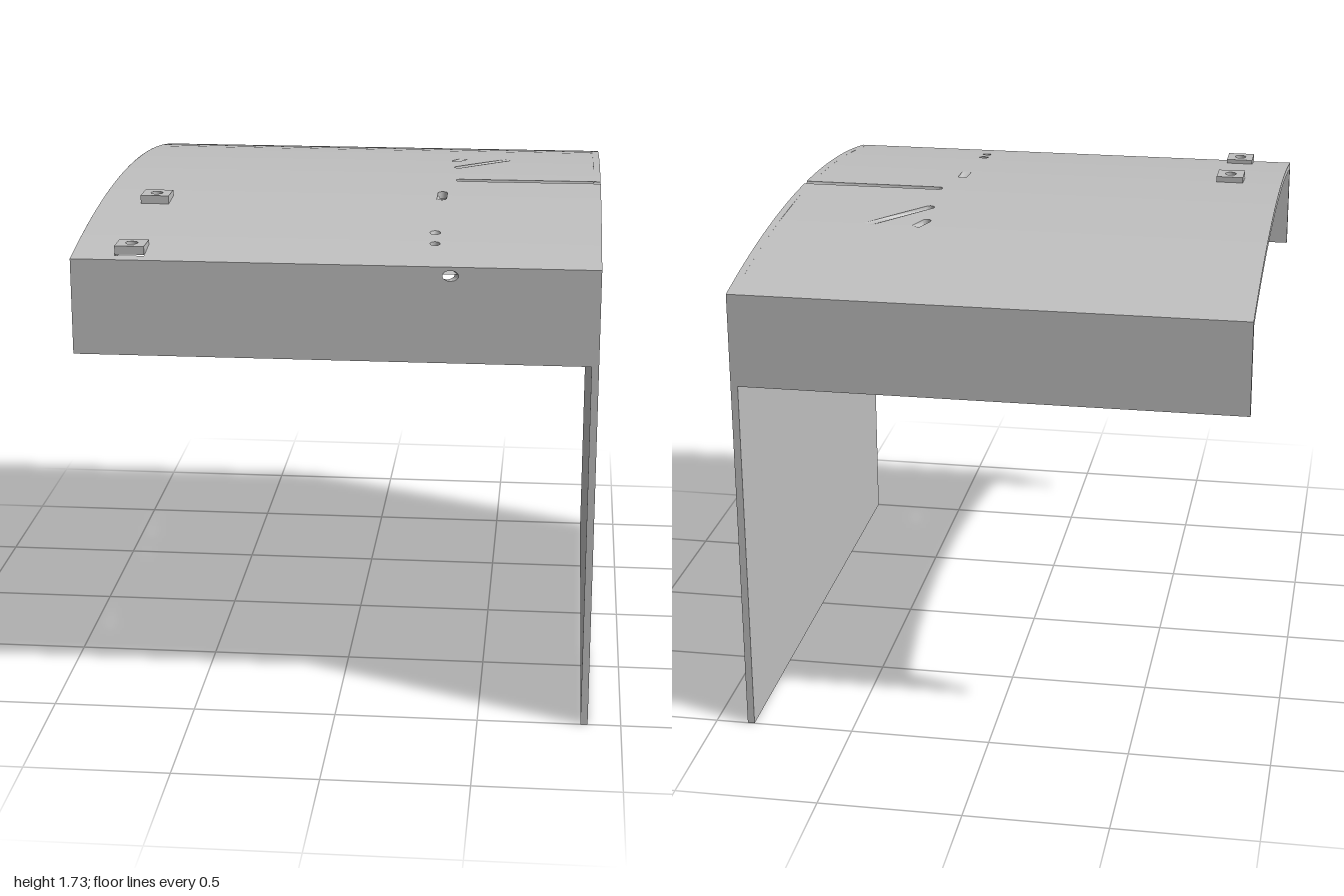
import * as THREE from 'three';
import { mergeGeometries } from 'three/addons/utils/BufferGeometryUtils.js';

const W = 0.885, T = 0.025, INNER = W - T;
const arch = z => 1.63 + 0.095 * (1 - z * z);

const gray = new THREE.MeshStandardMaterial({ color: 0xc0c0c0, side: THREE.DoubleSide });
gray.name = 'plain gray';

// Round openings in the roof: centre x, z, radius, shift of the lower end in z
const roundHoles = [[0.32, 0.71, 0.018, 0.01], [0.325, 0.81, 0.017, 0]];
// Slanting drilled grooves: deep end, shallow end, radius, depth at the shallow end
const grooves = [
  { a: [0.375, 0.07], b: [INNER, 0.07], r: 0.017, d: 0.015 },
  { a: [0.355, -0.175], b: [0.54, -0.385], r: 0.016, d: 0 },
  { a: [0.337, -0.325], b: [0.365, -0.388], r: 0.016, d: 0 },
  { a: [0.32, 0.265], b: [0.32, 0.355], r: 0.017, d: 0 },
];
// Mounting plates: x, z, underside height
const plates = [[-0.69, 0.42, 1.704], [-0.69, 0.915, 1.64]];

const ring = (x, z, r, from = 0, sweep = Math.PI * 2, n = 20) =>
  Array.from({ length: n + 1 }, (_, i) => {
    const t = from + sweep * i / n;
    return [x + r * Math.cos(t), z + r * Math.sin(t)];
  });
const circle = (x, z, r) => ring(x, z, r).slice(0, -1);
const square = (x, z, s) => [[x - s, z - s], [x + s, z - s], [x + s, z + s], [x - s, z + s]];

// Half circle round the deep end of a groove
function cap(g) {
  const angle = Math.atan2(g.b[1] - g.a[1], g.b[0] - g.a[0]);
  return ring(...g.a, g.r, angle + Math.PI / 2, Math.PI, 12);
}
function slot(g) {
  const c = cap(g), first = c[0], last = c[c.length - 1];
  const dx = g.b[0] - g.a[0] - (g.d ? 0.0005 : 0), dz = g.b[1] - g.a[1];
  return [...c, [last[0] + dx, last[1] + dz], [first[0] + dx, first[1] + dz]];
}

// Surface through rows of points
function loft(rows) {
  const n = rows[0].length, index = [];
  for (let i = 0; i < rows.length - 1; i++)
    for (let j = 0; j < n - 1; j++) {
      const a = i * n + j, b = a + n;
      index.push(a, b, a + 1, b, b + 1, a + 1);
    }
  const geo = new THREE.BufferGeometry();
  geo.setAttribute('position', new THREE.Float32BufferAttribute(rows.flat(2), 3));
  geo.setIndex(index);
  geo.computeVertexNormals();
  return geo;
}
// Wall of an opening, from the roof's top surface to its underside
const wall = (pts, dz = 0) => loft([
  pts.map(([x, z]) => [x, arch(z), z]),
  pts.map(([x, z]) => [x, arch(z + dz) - T, z + dz]),
]);

// Curved skin with openings, made of narrow strips bent onto the arch
function skin(openings, drop) {
  const cuts = [-1, -0.9, -0.8, -0.7, -0.6, -0.5, -0.41, -0.14, -0.05, 0.04, 0.1, 0.17,
    0.24, 0.365, 0.48, 0.58, 0.68, 0.84, 0.855, 0.98, 1];
  const toPts = list => list.map(([x, z]) => new THREE.Vector2(x, -z));
  const strips = cuts.slice(1).map((z1, i) => {
    const z0 = cuts[i];
    const shape = new THREE.Shape(toPts([[-W, z1], [INNER, z1], [INNER, z0], [-W, z0]]));
    for (const o of openings)
      if (o.every(p => p[1] > z0 && p[1] < z1)) shape.holes.push(new THREE.Path(toPts(o)));
    const geo = new THREE.ShapeGeometry(shape);
    const pos = geo.attributes.position, nor = geo.attributes.normal;
    const s = drop ? -1 : 1;
    for (let k = 0; k < pos.count; k++) {
      const z = -pos.getY(k), n = new THREE.Vector3(0, s, s * 0.19 * z).normalize();
      pos.setXYZ(k, pos.getX(k), arch(z) - drop, z);
      nor.setXYZ(k, n.x, n.y, n.z);
    }
    if (drop) geo.index.array.reverse();
    return geo;
  });
  return mergeGeometries(strips);
}

// Flat panel with elliptical holes; the back end of each hole can be shifted sideways
function panel(points, holes) {
  const shape = new THREE.Shape(points.map(p => new THREE.Vector2(...p)));
  for (const [x, y, rx, ry] of holes)
    shape.holes.push(new THREE.Path().absellipse(x, y, rx, ry, 0, Math.PI * 2, true));
  const geo = new THREE.ExtrudeGeometry(shape, { depth: T, bevelEnabled: false, curveSegments: 12 });
  const pos = geo.attributes.position;
  for (let k = 0; k < pos.count; k++)
    for (const [x, y, rx, , shift] of holes)
      if (pos.getZ(k) < T / 2 && Math.hypot(pos.getX(k) - x, pos.getY(k) - y) < rx + 0.003)
        pos.setX(k, pos.getX(k) + shift);
  geo.computeVertexNormals();
  return geo;
}

export function createModel() {
  const model = new THREE.Group();
  const add = (name, geo) => {
    const mesh = new THREE.Mesh(geo, gray);
    mesh.name = name;
    model.add(mesh);
    return mesh;
  };

  // Arched roof
  const recesses = plates.map(([x, z]) => square(x, z, 0.05));
  add('roofTop', skin([...recesses, ...grooves.map(slot),
    ...roundHoles.map(([x, z, r]) => circle(x, z, r))], 0));
  add('roofUnderside', skin([...recesses, ...grooves.map(g => circle(...g.a, g.r)),
    ...roundHoles.map(([x, z, r, dz]) => circle(x, z + dz, r))], T));

  // Exposed left edge of the roof
  const zs = Array.from({ length: 41 }, (_, i) => -1 + i / 20);
  add('roofEdge', loft([zs.map(z => [-W, arch(z), z]), zs.map(z => [-W, arch(z) - T, z])]));

  // Walls of the openings
  for (const [x, z, r, dz] of roundHoles) add('roofHoleWall', wall(ring(x, z, r), dz));
  for (const r of recesses) add('plateRecessWall', wall([...r, r[0]]));

  // Grooves with rounded floors
  for (const g of grooves) {
    const dx = g.b[0] - g.a[0], dz = g.b[1] - g.a[1], len = Math.hypot(dx, dz);
    const rows = [];
    for (let i = 0; i <= 8; i++) {
      const t = i / 8, depth = T + (g.d - T) * t, row = [];
      for (let j = 0; j <= 12; j++) {
        const a = Math.PI * j / 12, side = g.r * Math.cos(a);
        const x = g.a[0] + dx * t - dz / len * side, z = g.a[1] + dz * t + dx / len * side;
        row.push([x, arch(z) - depth * Math.sin(a), z]);
      }
      rows.push(row);
    }
    add('grooveFloor', loft(rows));
    add('grooveEnd', wall(cap(g)));
  }

  // Side panel with arched top, notched where the long groove runs out
  const outline = [[-1, 0], [1, 0]];
  for (const z of zs) {
    if (Math.abs(z - 0.07) > 0.022) outline.push([-z, arch(z)]);
    if (Math.abs(z - 0.05) < 0.001)
      for (let j = 0; j <= 12; j++) {
        const a = Math.PI * j / 12, zn = 0.07 - 0.017 * Math.cos(a);
        outline.push([-zn, arch(zn) - 0.015 * Math.sin(a)]);
      }
  }
  const side = add('sidePanel', panel(outline, [
    [0.4, 1.605, 0.025, 0.018, -0.012],
    [0.765, 1.605, 0.027, 0.018, -0.014],
    [0.78, 1.475, 0.018, 0.018, 0],
  ]));
  side.rotation.y = Math.PI / 2;
  side.position.x = INNER;

  // Front and back aprons
  const apron = [[-W, 1.3], [INNER, 1.3], [INNER, 1.63], [-W, 1.63]];
  add('frontApron', panel(apron, [[0.388, 1.6, 0.027, 0.018, -0.014]])).position.z = 1 - T;
  add('backApron', panel(apron, [])).position.z = -1;

  // Mounting plates with a centre hole
  for (const [x, z, y] of plates) {
    const shape = new THREE.Shape(square(0, 0, 0.05).map(p => new THREE.Vector2(...p)));
    shape.holes.push(new THREE.Path().absarc(0, 0, 0.021, 0, Math.PI * 2, true));
    const geo = new THREE.ExtrudeGeometry(shape, { depth: 0.029, bevelEnabled: false, curveSegments: 20 });
    const plate = add('mountingPlate', geo.rotateX(-Math.PI / 2));
    plate.position.set(x, y, z);
  }
  return model;
}
